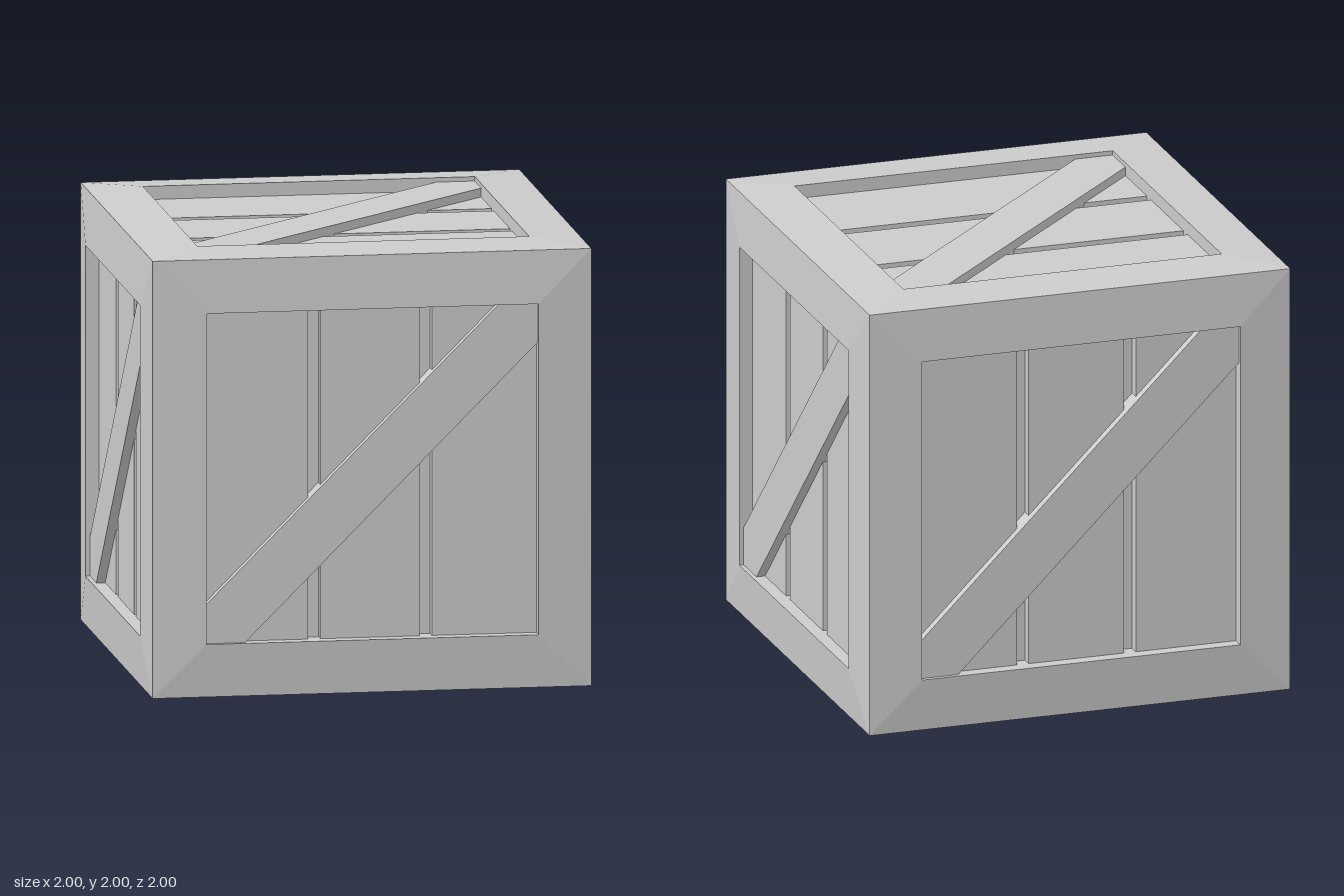
import * as THREE from 'three';

const OUT = 0.982;   // crate corner
const IN = 0.743;    // half width of the recessed opening
const BASE = 0.89, PLANK = 0.94, BRACE = 0.98, RIM = 1;

export function createModel() {
  const material = new THREE.MeshStandardMaterial({ color: 0xcccccc, flatShading: true });
  const crate = new THREE.Group();
  crate.name = 'crate';

  // Mitred frame: a four-sided lathe, sloping gently to the rim, then down into the recess
  const profile = [[OUT, OUT], [IN, RIM], [IN, BASE]]
    .map(([r, y]) => new THREE.Vector2(r * Math.SQRT2, y));
  const frameGeo = new THREE.LatheGeometry(profile, 4, Math.PI / 4).rotateX(Math.PI / 2);

  // Flat panel behind the planks
  const panelGeo = new THREE.PlaneGeometry(IN * 2, IN * 2).translate(0, 0, BASE);

  // Three planks separated by two grooves
  const plankGeos = [[-IN, -0.28], [-0.225, 0.22], [0.275, IN]].map(([a, b]) =>
    new THREE.BoxGeometry(b - a, IN * 2, PLANK - BASE)
      .translate((a + b) / 2, 0, (PLANK + BASE) / 2));

  // Diagonal brace, cut to the corners of the opening
  const c = 0.568;
  const braceShape = new THREE.Shape([
    [-IN, -IN], [-c, -IN], [IN, c], [IN, IN], [c, IN], [-IN, -c],
  ].map(([x, y]) => new THREE.Vector2(x, y)));
  const braceGeo = new THREE.ExtrudeGeometry(braceShape, { depth: BRACE - BASE, bevelEnabled: false })
    .translate(0, 0, BASE);

  function addSide(name, rx, ry, plankTurn) {
    const side = new THREE.Group();
    side.name = name;
    const add = (geo, part, turn = 0) => {
      const mesh = new THREE.Mesh(geo, material);
      mesh.name = part;
      mesh.rotation.z = turn;
      side.add(mesh);
    };
    add(frameGeo, 'frame');
    add(panelGeo, 'panel');
    plankGeos.forEach((geo) => add(geo, 'plank', plankTurn));
    add(braceGeo, 'brace');
    side.rotation.set(rx, ry, 0);
    crate.add(side);
  }

  // Four walls with upright planks, lid and floor with planks running along x
  const q = Math.PI / 2;
  ['frontSide', 'leftSide', 'backSide', 'rightSide'].forEach((name, i) => addSide(name, 0, i * q, 0));
  addSide('topSide', -q, 0, -q);
  addSide('bottomSide', q, 0, -q);

  crate.position.y = 1;
  const model = new THREE.Group();
  model.name = 'woodenCrate';
  model.add(crate);
  return model;
}
